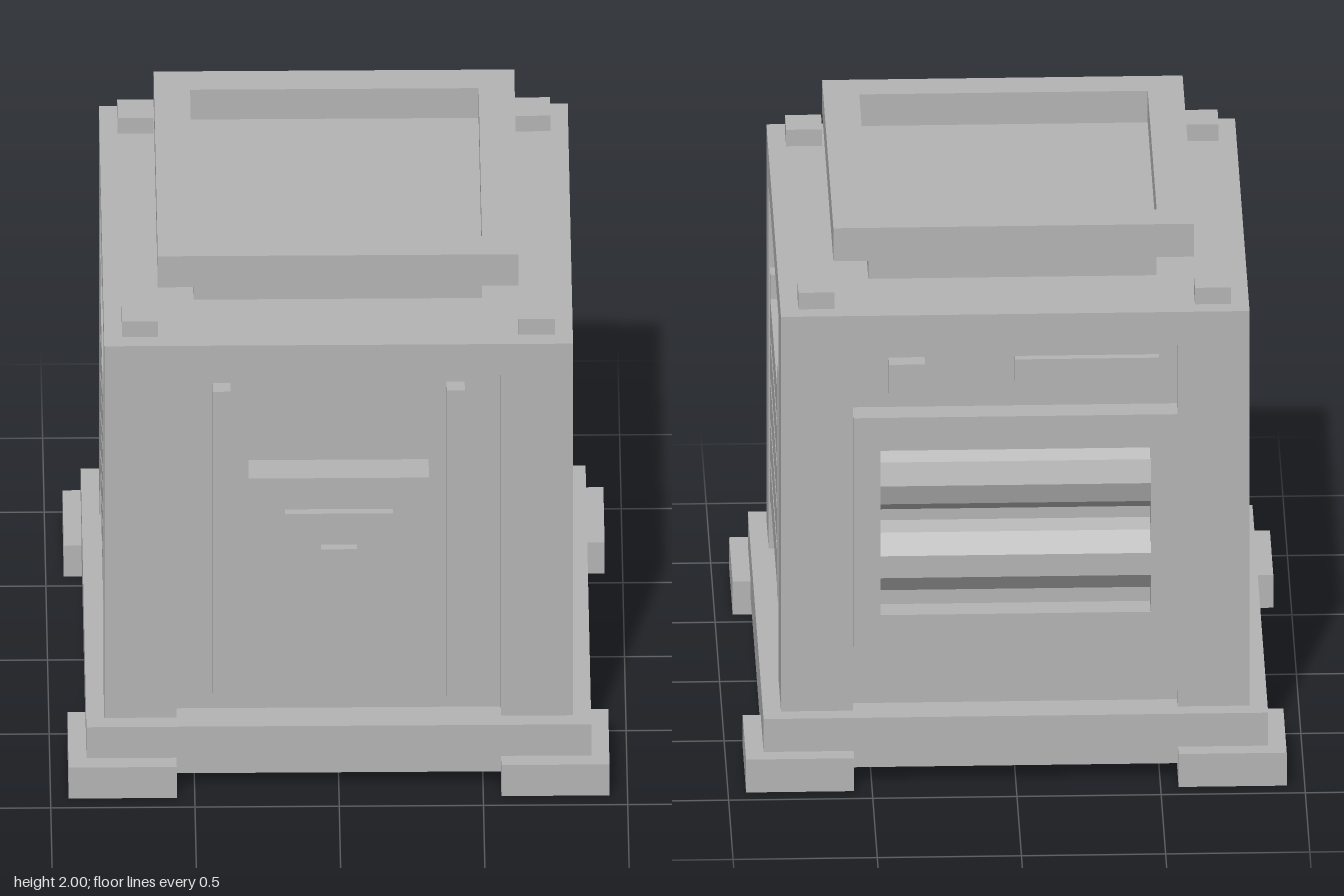
import * as THREE from 'three';

export function createModel() {
  const model = new THREE.Group();
  model.name = 'ventilatedCabinet';
  const grey = new THREE.MeshStandardMaterial({ color: 0xb3b3b3 });
  grey.name = 'plainGrey';

  // box given by its extents on each axis
  function box(name, [x0, x1], [y0, y1], [z0, z1], parent = model) {
    const mesh = new THREE.Mesh(new THREE.BoxGeometry(x1 - x0, y1 - y0, z1 - z0), grey);
    mesh.position.set((x0 + x1) / 2, (y0 + y1) / 2, (z0 + z1) / 2);
    mesh.name = name;
    parent.add(mesh);
    return mesh;
  }
  const pm = (v) => [-v, v];
  const side = (s, a, b) => (s > 0 ? [a, b] : [-b, -a]);

  // base slab and body with recessed faces
  box('baseSlab', pm(0.875), [0.0625, 0.25], pm(0.875));
  box('bodyCore', pm(0.75), [0.25, 1.625], pm(0.75));
  box('bodyTop', pm(0.8125), [1.625, 1.75], pm(0.8125));

  // feet, corner posts and top studs
  for (const sx of [-1, 1]) {
    for (const sz of [-1, 1]) {
      box('foot', side(sx, 0.5625, 0.9375), [0, 0.125], side(sz, 0.5625, 0.9375));
      box('cornerPost', side(sx, 0.5625, 0.8125), [0.25, 1.625], side(sz, 0.5625, 0.8125));
      box('topStud', side(sx, 0.625, 0.75), [1.75, 1.8125], side(sz, 0.625, 0.75));
    }
  }

  // neck and hollow rim on top
  box('neck', pm(0.5), [1.75, 1.88], pm(0.5));
  for (const s of [-1, 1]) {
    box('rimLong', pm(0.625), [1.875, 2], side(s, 0.5, 0.625));
    box('rimShort', side(s, 0.5, 0.625), [1.875, 2], pm(0.5));
  }

  // front ribs and stepped plate
  for (const s of [-1, 1]) box('frontRib', side(s, 0.375, 0.4375), [0.3125, 1.5625], [0.75, 0.81]);
  box('frontPlate', pm(0.3125), [0.625, 1.25], [0.75, 0.875]);
  box('frontPlateStep', pm(0.1875), [0.75, 1.125], [0.875, 0.906]);
  box('frontButton', pm(0.0625), [0.875, 1], [0.906, 0.9375]);

  // slatted grille on each side
  for (const s of [-1, 1]) {
    const grille = new THREE.Group();
    grille.name = 'sideGrille';
    model.add(grille);
    const depth = side(s, 0.75, 0.8125);
    for (const e of [-1, 1]) box('grillePost', depth, [0.5, 1.375], side(e, 0.375, 0.4375), grille);
    for (let i = 0; i < 5; i++) {
      const y = 0.532 + i * 0.1563;
      box('grilleSlat', depth, [y, y + 0.125], pm(0.375), grille);
    }
  }

  // back frame with two faceted rollers
  box('backLowerPanel', pm(0.5625), [0.3125, 0.5], [-0.8125, -0.75]);
  box('backFrameTop', pm(0.5625), [1.25, 1.375], [-0.843, -0.75]);
  box('backFrameBottom', pm(0.5625), [0.5, 0.625], [-0.843, -0.75]);
  for (const s of [-1, 1]) box('backFrameSide', side(s, 0.469, 0.5625), [0.625, 1.25], [-0.843, -0.75]);
  [[1.125, 0], [0.815, Math.PI / 10]].forEach(([y, turn]) => {
    const geo = new THREE.CylinderGeometry(0.135, 0.135, 0.938, 10).toNonIndexed();
    geo.rotateY(turn); // one roller shows an edge, the other a flat
    geo.rotateZ(Math.PI / 2);
    geo.computeVertexNormals();
    const roller = new THREE.Mesh(geo, grey);
    roller.name = 'backRoller';
    roller.position.set(0, y, -0.732);
    model.add(roller);
  });

  // small block and label plate above the frame
  box('backBlock', [0.3125, 0.4375], [1.4375, 1.5625], [-0.8125, -0.75]);
  box('backStrip', [-0.5, 0], [1.47, 1.5625], [-0.78, -0.75]);

  return model;
}
